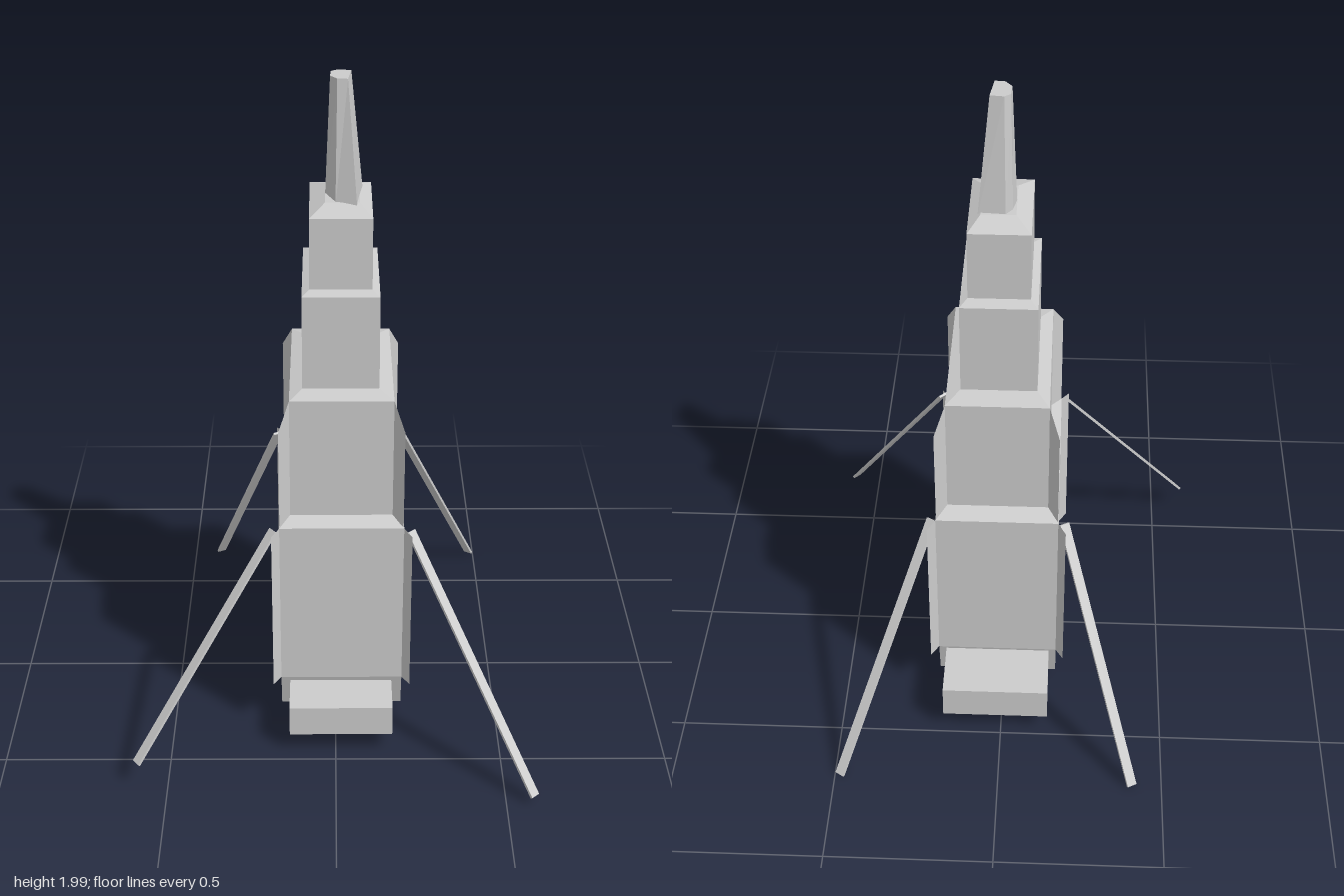
import * as THREE from 'three';

const solid = new THREE.MeshStandardMaterial({ color: 0xcccccc, flatShading: true });
const sheet = new THREE.MeshStandardMaterial({ color: 0xcccccc, flatShading: true, side: THREE.DoubleSide });

function mesh(name, geometry, material = solid) {
  const m = new THREE.Mesh(geometry, material);
  m.name = name;
  return m;
}

function fromTriangles(points) {
  const g = new THREE.BufferGeometry();
  g.setAttribute('position', new THREE.Float32BufferAttribute(points.flat(), 3));
  g.computeVertexNormals();
  return g;
}

// Capped faceted solid through rings { y, pts: [[x, z], ...] }, counterclockwise from above
function loft(rings) {
  const tris = [];
  const at = (r, i) => {
    const [x, z] = r.pts[i % r.pts.length];
    return [x, r.y, z];
  };
  const n = rings[0].pts.length;
  for (let k = 0; k + 1 < rings.length; k++) {
    for (let i = 0; i < n; i++) {
      const a = at(rings[k], i), b = at(rings[k], i + 1);
      const c = at(rings[k + 1], i + 1), d = at(rings[k + 1], i);
      tris.push(a, b, c, a, c, d);
    }
  }
  const low = rings[0], high = rings[rings.length - 1];
  for (let i = 1; i + 1 < n; i++) {
    tris.push(at(low, 0), at(low, i + 1), at(low, i));
    tris.push(at(high, 0), at(high, i), at(high, i + 1));
  }
  return fromTriangles(tris);
}

const rect = (y, [x0, x1, z0, z1]) => ({ y, pts: [[x0, z1], [x1, z1], [x1, z0], [x0, z0]] });

// Footprints [x0, x1, z0, z1] from the base upward
const FOOT = [-0.167, 0.203, -0.27, 0.28];
const BASE = [-0.167, 0.203, -0.3, 0.317];
const SECOND = [-0.135, 0.17, -0.243, 0.262];
const THIRD = [-0.097, 0.128, -0.178, 0.2];
const FOURTH = [-0.075, 0.106, -0.14, 0.163];
const SPIRE_FOOT = [-0.03, 0.07, -0.07, 0.09];

// Thin diagonal panels standing out from the four corners of a tier
function cornerFins(name, box, dx, dz, [innerLow, outerLow, outerHigh, innerHigh]) {
  const group = new THREE.Group();
  group.name = name;
  for (const sx of [-1, 1]) for (const sz of [-1, 1]) {
    const x = sx < 0 ? box[0] : box[1], z = sz < 0 ? box[2] : box[3];
    const p = [x, innerLow, z], q = [x + sx * dx, outerLow, z + sz * dz];
    const r = [x + sx * dx, outerHigh, z + sz * dz], s = [x, innerHigh, z];
    group.add(mesh('cornerFin', fromTriangles([p, q, r, p, r, s]), sheet));
  }
  return group;
}

// Flat strip between two points, its width kept horizontal
function strut(name, top, foot, width, thickness) {
  const a = new THREE.Vector3(...top), b = new THREE.Vector3(...foot);
  const dir = b.clone().sub(a);
  const length = dir.length();
  dir.normalize();
  const side = new THREE.Vector3(0, 1, 0).cross(dir).normalize();
  const normal = side.clone().cross(dir);
  const g = new THREE.BoxGeometry(width, length, thickness);
  g.applyMatrix4(new THREE.Matrix4().makeBasis(side, dir, normal));
  g.translate(...a.add(b).multiplyScalar(0.5).toArray());
  return mesh(name, g, sheet);
}

export function createModel() {
  const model = new THREE.Group();
  model.name = 'steppedTower';

  // Stepped tiers, each with a shallow sloping roof up to the next
  const tiers = [
    ['baseTier', [rect(0.06, FOOT), rect(0.18, BASE), rect(0.712, BASE), rect(0.727, SECOND)]],
    ['secondTier', [rect(0.725, SECOND), rect(1.105, SECOND), rect(1.117, THIRD)]],
    ['thirdTier', [rect(1.115, THIRD), rect(1.405, THIRD), rect(1.414, FOURTH)]],
    ['fourthTier', [rect(1.412, FOURTH), rect(1.628, FOURTH), rect(1.65, SPIRE_FOOT)]],
  ];
  for (const [name, rings] of tiers) model.add(mesh(name, loft(rings)));

  // Irregular tapered spire
  model.add(mesh('spire', loft([
    { y: 1.635, pts: [[0, 0.085], [0.062, 0.105], [0.08, -0.062], [0, -0.068], [-0.02, -0.04], [-0.03, 0.01]] },
    { y: 2, pts: [[0.005, 0.052], [0.035, 0.055], [0.045, -0.03], [0.005, -0.035], [-0.013, -0.02], [-0.015, 0.025]] },
  ])));

  // Corner panels on the two lower tiers
  model.add(cornerFins('baseFins', BASE, 0.023, 0.038, [0.18, 0.18, 0.705, 0.712]));
  model.add(cornerFins('secondFins', SECOND, 0.031, 0.053, [0.72, 0.715, 1.03, 1.105]));

  // Low blocks projecting at front and back
  model.add(mesh('frontStep', loft([
    rect(0.068, [-0.14, 0.172, 0.2, 0.457]), rect(0.165, [-0.14, 0.172, 0.2, 0.457])])));
  model.add(mesh('backStep', loft([
    rect(0.068, [-0.145, 0.18, -0.482, -0.2]), rect(0.172, [-0.145, 0.18, -0.482, -0.2])])));

  // Four splayed legs
  const legs = [
    ['frontRightLeg', [-0.185, 0.708, 0.32], [-0.59, 0.09, 0.622]],
    ['frontLeftLeg', [0.222, 0.708, 0.325], [0.583, 0.032, 0.705]],
    ['backLeftLeg', [0.215, 0.708, -0.29], [0.485, 0.01, -0.69]],
    ['backRightLeg', [-0.185, 0.708, -0.295], [-0.41, 0.012, -0.7]],
  ];
  for (const [name, top, foot] of legs) model.add(strut(name, top, foot, 0.03, 0.008));

  // Small spur on the left wall
  model.add(mesh('sideSpur', fromTriangles([
    [0.203, 0.27, -0.135], [0.203, 0.2, -0.07], [0.24, 0.215, -0.115]]), sheet));

  return model;
}
